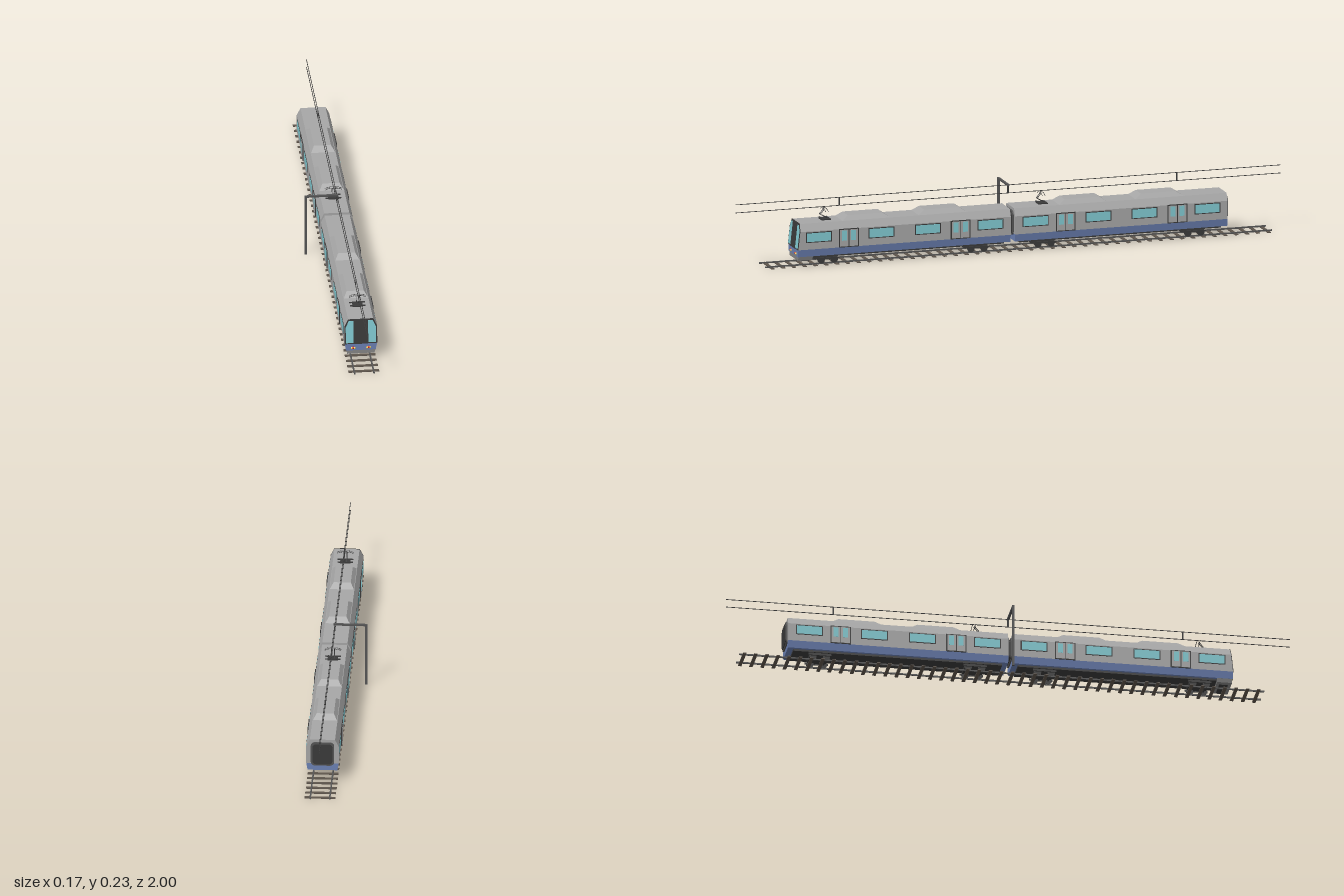
import * as THREE from 'three';

const mat = (color) => new THREE.MeshStandardMaterial({ color, flatShading: true, side: THREE.DoubleSide });
const M = {
  body: mat(0xa6a6a6), skirt: mat(0x858585), blue: mat(0x6b80b3), glass: mat(0x80c8d0), dark: mat(0x3a3a3a),
  steel: mat(0x555555), sleeper: mat(0x5e554c), red: mat(0xd01515), yellow: mat(0xe8d060),
};
const TRACK_X = 0.026, LEAN = 0.11;

function add(parent, name, geo, material, x = 0, y = 0, z = 0) {
  const m = new THREE.Mesh(geo, material);
  m.name = name;
  m.position.set(x, y, z);
  parent.add(m);
  return m;
}
const box = (p, name, m, w, h, d, x, y, z) => add(p, name, new THREE.BoxGeometry(w, h, d), m, x, y, z);

// Thin round bar through a list of points
function bar(parent, name, pts, r, material) {
  const curve = new THREE.CatmullRomCurve3(pts.map((p) => new THREE.Vector3(...p)));
  const steps = pts.length > 2 ? 12 : 1;
  return add(parent, name, new THREE.TubeGeometry(curve, steps, r, 6), material);
}

// Prism along z from an outline; the front end can lean back with height
function prism(pts, z0, z1, lean = 0, leanAll = false) {
  const shape = new THREE.Shape(pts.map(([x, y]) => new THREE.Vector2(x, y)));
  const g = new THREE.ExtrudeGeometry(shape, { depth: z1 - z0, bevelEnabled: false });
  g.translate(0, 0, z0);
  const p = g.attributes.position, mid = (z0 + z1) / 2;
  for (let i = 0; i < p.count; i++)
    if (leanAll || p.getZ(i) > mid) p.setZ(i, p.getZ(i) - lean * Math.max(0, p.getY(i) - 0.06));
  g.computeVertexNormals();
  return g;
}
// Symmetric outline from right-hand points listed bottom to top
const mirror = (half) => [...half, ...half.map(([x, y]) => [-x, y]).reverse()];

// Box whose top is narrower than its base
function frustum(w, h, d, topW, topD) {
  const g = new THREE.BoxGeometry(w, h, d).toNonIndexed();
  const p = g.attributes.position;
  for (let i = 0; i < p.count; i++)
    if (p.getY(i) > 0) p.setXYZ(i, p.getX(i) * topW / w, p.getY(i), p.getZ(i) * topD / d);
  g.computeVertexNormals();
  return g;
}

function roundedOutline(w, h, r, cy) {
  const pts = [];
  for (let c = 0; c < 4; c++)
    for (let i = 0; i <= 4; i++) {
      const a = (c + i / 4) * Math.PI / 2;
      const sx = c === 0 || c === 3 ? 1 : -1, sy = c < 2 ? 1 : -1;
      pts.push([sx * (w / 2 - r) + r * Math.cos(a), cy + sy * (h / 2 - r) + r * Math.sin(a)]);
    }
  return pts;
}

function bogie() {
  const g = new THREE.Group();
  g.name = 'bogie';
  box(g, 'bogieFrame', M.dark, 0.075, 0.008, 0.07, 0, 0.025, 0);
  for (const z of [-0.024, 0.024]) {
    const axle = add(g, 'axle', new THREE.CylinderGeometry(0.003, 0.003, 0.07, 8), M.dark, 0, 0.017, z);
    axle.rotation.z = Math.PI / 2;
    for (const s of [-1, 1]) {
      const wheel = add(g, 'wheel', new THREE.CylinderGeometry(0.013, 0.013, 0.006, 16), M.dark, s * 0.034, 0.017, z);
      wheel.rotation.z = Math.PI / 2;
    }
  }
  for (const s of [-1, 1]) box(g, 'sideBeam', M.dark, 0.005, 0.007, 0.082, s * 0.04, 0.022, 0);
  return g;
}

function pantograph() {
  const g = new THREE.Group();
  g.name = 'pantograph';
  box(g, 'pantographBase', M.dark, 0.036, 0.004, 0.034, 0, 0.156, 0);
  for (const z of [-0.012, 0.012]) box(g, 'baseBar', M.dark, 0.055, 0.003, 0.005, 0, 0.157, z);
  for (const s of [-1, 1]) {
    bar(g, 'lowerArm', [[s * 0.005, 0.157, -0.012], [s * 0.005, 0.173, 0.018]], 0.0013, M.dark);
    bar(g, 'upperArm', [[s * 0.005, 0.173, 0.018], [s * 0.005, 0.192, 0.002]], 0.0013, M.dark);
  }
  for (const z of [-0.004, 0.006])
    bar(g, 'contactBow', [[-0.029, 0.186, z], [-0.02, 0.191, z], [0, 0.193, z], [0.02, 0.191, z], [0.029, 0.186, z]], 0.001, M.dark);
  return g;
}

function door(side, z) {
  const g = new THREE.Group();
  g.name = 'door';
  const x = side * 0.0585;
  box(g, 'doorFrame', M.dark, 0.003, 0.066, 0.072, x, 0.095, z);
  for (const s of [-1, 1]) {
    box(g, 'doorLeaf', M.body, 0.004, 0.06, 0.031, x, 0.095, z + s * 0.0168);
    box(g, 'doorWindow', M.glass, 0.005, 0.036, 0.018, x, 0.104, z + s * 0.0168);
  }
  return g;
}

// Carriage centred on z = 0, 0.78 long
function carriage(hasCab) {
  const g = new THREE.Group();
  g.name = 'carriage';
  const L = 0.39, lean = hasCab ? LEAN : 0;
  const upper = mirror([[0.057, 0.062], [0.057, 0.127], [0.044, 0.153]]);
  add(g, 'bodyShell', prism(upper, -L, L, lean), M.body);
  add(g, 'lowerBand', prism(mirror([[0.052, 0.036], [0.057, 0.062]]), -L, L), M.blue);
  box(g, 'underframe', M.dark, 0.085, 0.008, 0.74, 0, 0.033, 0);

  // Roof housings
  for (const z of [-0.144, 0.136])
    add(g, 'roofHousing', frustum(0.086, 0.017, 0.178, 0.06, 0.128), M.body, 0, 0.1605, z);

  // Doors and side windows
  for (const s of [-1, 1]) {
    for (const z of [-0.205, 0.205]) g.add(door(s, z));
    for (const z of [-0.315, -0.085, 0.085, 0.315]) {
      box(g, 'windowFrame', M.dark, 0.002, 0.037, 0.095, s * 0.0572, 0.105, z);
      box(g, 'sideWindow', M.glass, 0.003, 0.031, 0.088, s * 0.0574, 0.105, z);
    }
  }
  for (const z of [-0.275, 0.275]) {
    const b = bogie();
    b.position.z = z;
    g.add(b);
  }
  const p = pantograph();
  p.position.z = 0.275;
  g.add(p);

  // Gangway connections
  const gangway = (z0, z1) => {
    add(g, 'gangwayFrame', prism(roundedOutline(0.082, 0.088, 0.014, 0.099), z0, z1), M.steel);
    add(g, 'gangwayBellows', prism(roundedOutline(0.07, 0.076, 0.012, 0.099), z0 - 0.003, z1 + 0.003), M.dark);
  };
  gangway(-L - 0.005, -L);
  if (hasCab) g.add(cabFront(L));
  else gangway(L, L + 0.005);
  return g;
}

function cabFront(z) {
  const g = new THREE.Group();
  g.name = 'cabFront';
  const panel = (name, pts, depth, m) => add(g, name, prism(pts, z, z + depth, LEAN, true), m);
  panel('cabFrame', mirror([[0.0575, 0.062], [0.0575, 0.127], [0.044, 0.154]]), 0.002, M.dark);
  for (const s of [-1, 1]) {
    panel('windscreen', [[0.026, 0.066], [0.053, 0.066], [0.053, 0.125], [0.042, 0.148], [0.026, 0.148]].map(([x, y]) => [s * x, y]), 0.003, M.glass);
    // Lamp cluster
    for (const [dx, m] of [[-0.0045, M.yellow], [0, M.red], [0.0045, M.yellow]])
      add(g, 'lamp', new THREE.SphereGeometry(dx ? 0.0042 : 0.0046, 12, 8), m, s * 0.027 + dx, dx ? 0.045 : 0.046, z);
  }
  panel('cabDoor', mirror([[0.024, 0.062], [0.024, 0.154]]), 0.004, M.dark);
  add(g, 'noseSkirt', prism(mirror([[0.048, 0.022], [0.052, 0.038]]), z - 0.055, z - 0.002), M.skirt);
  box(g, 'coupler', M.dark, 0.075, 0.005, 0.03, 0, 0.02, z - 0.03);
  return g;
}

function track() {
  const g = new THREE.Group();
  g.name = 'track';
  for (const s of [-1, 1]) box(g, 'rail', M.steel, 0.005, 0.005, 1.86, s * 0.034, 0.0045, -0.028);
  for (let i = 0; i < 47; i++) box(g, 'sleeper', M.sleeper, 0.108, 0.003, 0.012, 0, 0.0015, 0.88 - i * 0.0396);
  return g;
}

function overheadLine() {
  const g = new THREE.Group();
  g.name = 'overheadLine';
  box(g, 'supportWire', M.dark, 0.002, 0.002, 2, 0, 0.228, 0);
  box(g, 'contactWire', M.dark, 0.002, 0.002, 2, 0, 0.199, 0);
  for (const z of [-0.62, 0, 0.62]) box(g, 'dropper', M.dark, 0.002, 0.03, 0.005, 0, 0.2135, z);
  box(g, 'mast', M.steel, 0.008, 0.229, 0.008, -0.11, 0.1145, 0);
  box(g, 'mastArm', M.steel, 0.118, 0.006, 0.008, -0.055, 0.228, 0);
  return g;
}

export function createModel() {
  const root = new THREE.Group();
  root.name = 'electricTrain';
  const line = new THREE.Group();
  line.name = 'railwayLine';
  line.position.x = TRACK_X;
  const front = carriage(true), rear = carriage(false);
  front.position.z = 0.398;
  rear.position.z = -0.398;
  line.add(front, rear, track(), overheadLine());
  root.add(line);
  return root;
}
